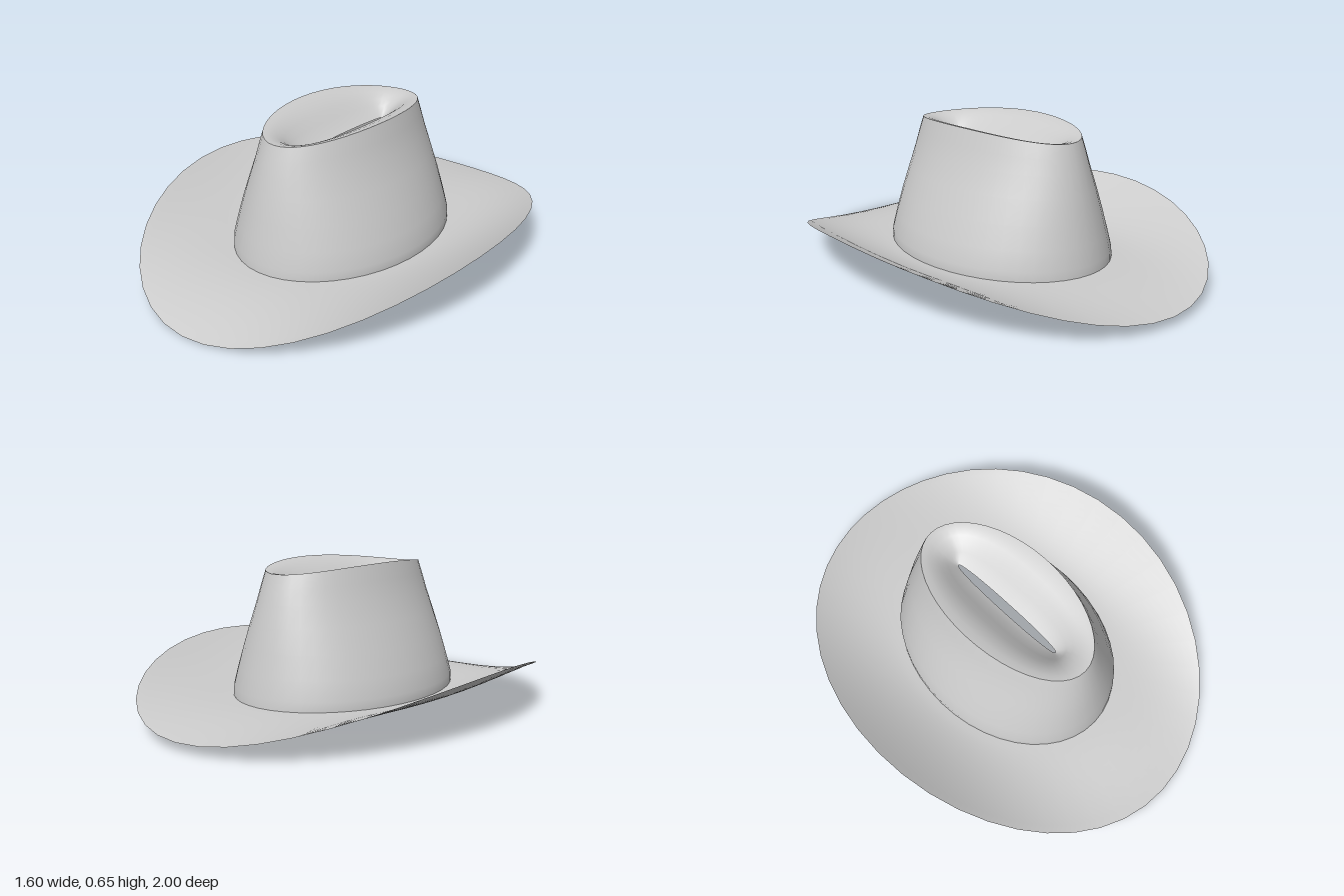
import * as THREE from 'three';

const SIDES = 44;

// Skin a stack of closed rings; point(row, angle) returns [x, y, z]
function loft(name, rows, point, material) {
  const pos = [], index = [];
  rows.forEach((row, r) => {
    for (let i = 0; i < SIDES; i++) {
      pos.push(...point(row, (i / SIDES) * Math.PI * 2));
      if (r === 0) continue;
      const j = (i + 1) % SIDES;
      const a = (r - 1) * SIDES + i, b = (r - 1) * SIDES + j;
      const c = r * SIDES + i, d = r * SIDES + j;
      index.push(a, c, b, b, c, d);
    }
  });
  const geo = new THREE.BufferGeometry();
  geo.setAttribute('position', new THREE.Float32BufferAttribute(pos, 3));
  geo.setIndex(index);
  geo.computeVertexNormals();
  const mesh = new THREE.Mesh(geo, material);
  mesh.name = name;
  return mesh;
}

// Superellipse helper: a smaller exponent gives a squarer ring
const bend = (v, e) => Math.sign(v) * Math.abs(v) ** e;

export function createModel() {
  const hat = new THREE.Group();
  hat.name = 'hat';
  const felt = new THREE.MeshStandardMaterial({ color: 0xcccccc, side: THREE.DoubleSide });
  felt.name = 'pale grey felt';

  // Brim: flat near the crown, rising at the sides, dipping at front and back
  const steps = Array.from({ length: 13 }, (_, i) => 1 - i / 12);
  const brim = loft('brim', steps, (t, ang) => {
    const c = Math.cos(ang), s = Math.sin(ang);
    const edge = 0.25 * c * c + (s < 0 ? 0.04 * s * s : 0);
    const power = 1.6 + 0.4 * s * s;
    return [
      (0.43 + 0.37 * t) * c,
      0.08 + (edge - 0.08) * t ** power,
      (0.57 + 0.43 * t) * s,
    ];
  }, felt);

  // Crown wall: [half width, half length, height, saddle rise at the sides]
  const wall = [
    [0.43, 0.57, 0.08, 0], [0.43, 0.567, 0.12, 0], [0.405, 0.551, 0.2, 0],
    [0.368, 0.531, 0.3, 0], [0.325, 0.509, 0.4, 0.003], [0.285, 0.486, 0.49, 0.01],
    [0.262, 0.468, 0.555, 0.02], [0.24, 0.45, 0.612, 0.034],
  ];
  const crown = loft('crown', wall, ([a, b, y, rise], ang) => {
    const c = Math.cos(ang);
    return [a * c, y + rise * c * c, b * Math.sin(ang)];
  }, felt);

  // Pinched hollow in the top, ending in a narrow slit; last value squares the ring
  const hollow = [
    [0.24, 0.45, 0.612, 0.034, 1], [0.205, 0.425, 0.61, 0.028, 0.95],
    [0.165, 0.39, 0.6, 0.022, 0.88], [0.125, 0.355, 0.58, 0.014, 0.82],
    [0.09, 0.33, 0.555, 0.008, 0.8], [0.05, 0.31, 0.53, 0, 0.8],
    [0.02, 0.29, 0.515, 0, 0.9],
  ];
  const dent = loft('crownDent', hollow, ([a, b, y, rise, e], ang) => {
    const c = Math.cos(ang);
    return [a * bend(c, e), y + rise * c * c, b * bend(Math.sin(ang), e)];
  }, felt);

  hat.add(brim, crown, dent);
  return hat;
}
